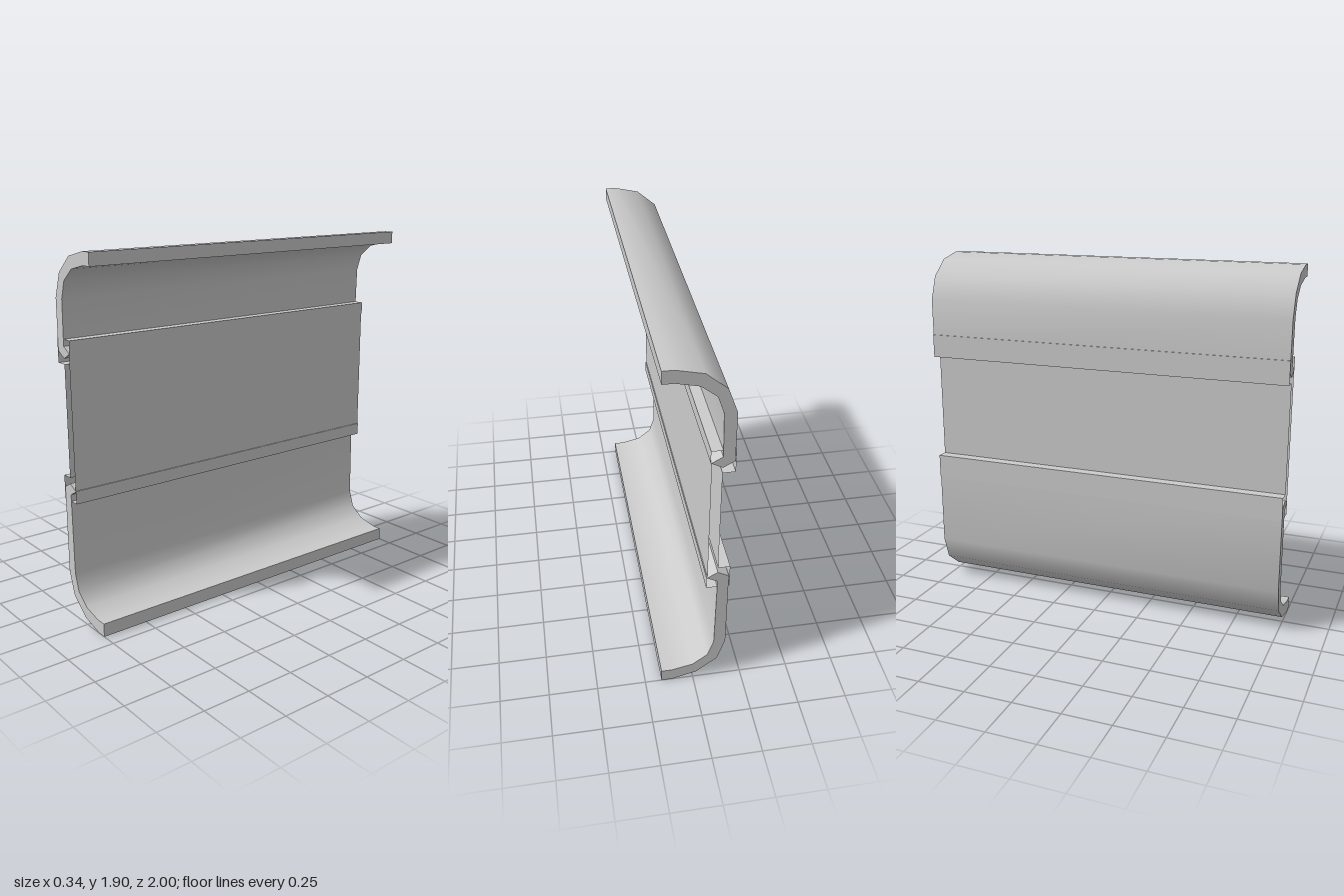
import * as THREE from 'three';
import { toCreasedNormals } from 'three/addons/utils/BufferGeometryUtils.js';

const LENGTH = 2;
const solidMat = new THREE.MeshStandardMaterial({ color: 0xcccccc });
const sheetMat = new THREE.MeshStandardMaterial({ color: 0xcccccc, side: THREE.DoubleSide, flatShading: true });

// Solid moulding: closed x/y profile run along z
function moulding(name, points) {
  const shape = new THREE.Shape(points.map(([x, y]) => new THREE.Vector2(x, y)));
  const geo = new THREE.ExtrudeGeometry(shape, { depth: LENGTH, bevelEnabled: false });
  geo.translate(0, 0, -LENGTH / 2);
  const mesh = new THREE.Mesh(toCreasedNormals(geo, 0.7), solidMat);
  mesh.name = name;
  return mesh;
}

// Open-ended sheet: x/y path swept along z, without end faces
function sheet(name, path) {
  const pos = [];
  const h = LENGTH / 2;
  for (let i = 0; i < path.length - 1; i++) {
    const [ax, ay] = path[i], [bx, by] = path[i + 1];
    pos.push(ax, ay, h, bx, by, h, bx, by, -h, ax, ay, h, bx, by, -h, ax, ay, -h);
  }
  const geo = new THREE.BufferGeometry();
  geo.setAttribute('position', new THREE.Float32BufferAttribute(pos, 3));
  geo.computeVertexNormals();
  const mesh = new THREE.Mesh(geo, sheetMat);
  mesh.name = name;
  return mesh;
}

export function createModel() {
  const group = new THREE.Group();
  group.name = 'channelRail';

  // Curved upper and lower flanges with pointed joint ends
  group.add(moulding('upperFlange', [
    [0.165, 1.905], [0.11, 1.905], [-0.02, 1.875], [-0.12, 1.79], [-0.165, 1.665],
    [-0.165, 1.405], [-0.11, 1.375], [-0.057, 1.405], [-0.11, 1.435],
    [-0.105, 1.665], [-0.075, 1.755], [0, 1.815], [0.11, 1.84], [0.165, 1.84],
  ]));
  group.add(moulding('lowerFlange', [
    [0.165, 0], [0.11, 0], [-0.02, 0.035], [-0.125, 0.12], [-0.165, 0.245],
    [-0.165, 0.705], [-0.11, 0.735], [-0.057, 0.705], [-0.11, 0.675],
    [-0.105, 0.245], [-0.075, 0.155], [0, 0.095], [0.11, 0.07], [0.165, 0.07],
  ]));

  // Web panel: inner face with raised lips, and the outer face
  group.add(sheet('webInnerFace', [
    [-0.11, 1.47], [-0.055, 1.47], [-0.055, 1.402], [-0.06, 1.402],
    [-0.06, 0.708], [-0.055, 0.708], [-0.055, 0.64], [-0.11, 0.64],
  ]));

  // Outer face with the overlapping joint strips
  group.add(sheet('webOuterFace', [
    [-0.165, 1.47], [-0.17, 1.47], [-0.17, 1.345], [-0.11, 1.345],
    [-0.11, 0.765], [-0.17, 0.765], [-0.17, 0.64], [-0.165, 0.64],
  ]));

  return group;
}
